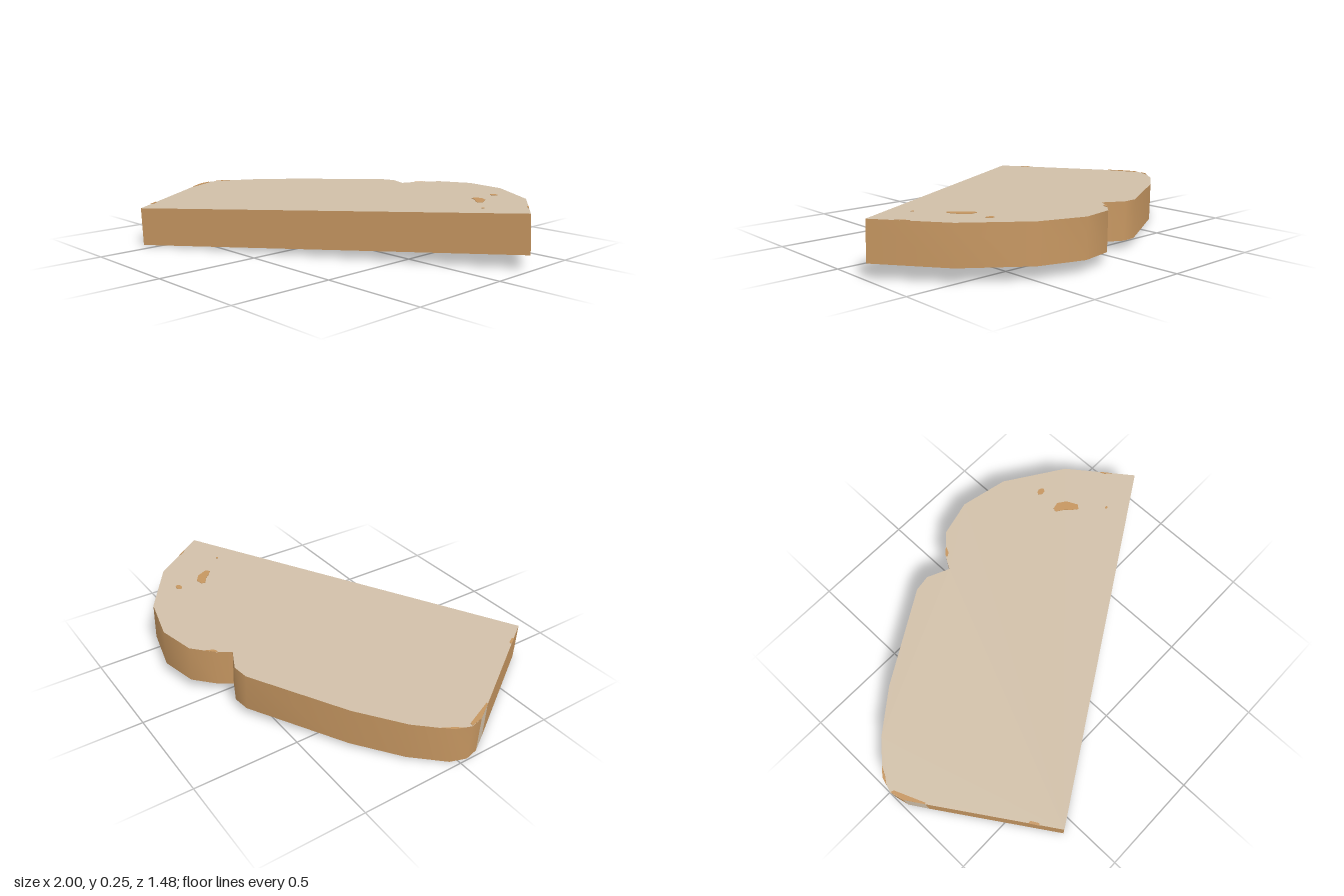
import * as THREE from 'three';
import { toCreasedNormals } from 'three/addons/utils/BufferGeometryUtils.js';

const THICK = 0.182;
const A = 0.0325, B = -0.02, C = 0.033; // slope of the underside: y = A x + B z + C

// Lays a local slab (x, height, z) onto the tilted plane
const tilt = new THREE.Matrix4().set(
  1, -A, 0, A * THICK,
  A, 1, B, C,
  0, -B, 1, B * THICK,
  0, 0, 0, 1);

// Extrudes a plan outline of [x, z] points upward from a height above the underside
function slab(points, base, depth) {
  const shape = new THREE.Shape(points.map(([x, z]) => new THREE.Vector2(x, -z)));
  const geo = new THREE.ExtrudeGeometry(shape, { depth, bevelEnabled: false });
  geo.rotateX(-Math.PI / 2);
  geo.translate(0, base, 0);
  geo.applyMatrix4(tilt);
  return geo;
}

function oval(x, z, rx, rz) {
  return Array.from({ length: 8 }, (_, i) => {
    const t = (i / 8) * Math.PI * 2;
    return [x + rx * Math.cos(t), z - rz * Math.sin(t)];
  });
}

export function createModel() {
  const crumb = new THREE.MeshStandardMaterial({ color: 0xd0bfa8 });
  crumb.name = 'crumb';
  const crust = new THREE.MeshStandardMaterial({ color: 0xc49560 });
  crust.name = 'crust';

  const group = new THREE.Group();
  group.name = 'halfBreadSlice';

  // Slice outline; the first edge is the straight cut
  const outline = [
    [-0.573, 0.738], [0.992, -0.219], [0.773, -0.508], [0.5, -0.69],
    [0.27, -0.743], [0.094, -0.7], [0.003, -0.61], [-0.035, -0.545],
    [-0.142, -0.594], [-0.222, -0.583], [-0.655, -0.326], [-0.853, -0.171],
    [-0.976, -0.032], [-1, 0.045], [-0.983, 0.112], [-0.928, 0.198],
  ];
  const sliceGeo = toCreasedNormals(slab(outline, 0, THICK), 0.65);

  // Crumb on the flat faces and the cut, crust around the rest of the rim
  const [caps, rim] = sliceGeo.groups;
  const cut = rim.start + 6 * (outline.length - 2);
  sliceGeo.clearGroups();
  sliceGeo.addGroup(caps.start, caps.count, 0);
  sliceGeo.addGroup(rim.start, cut - rim.start, 1);
  sliceGeo.addGroup(cut, 6, 0);
  sliceGeo.addGroup(cut + 6, 6, 1);
  const slice = new THREE.Mesh(sliceGeo, [crumb, crust]);
  slice.name = 'breadSlice';
  group.add(slice);

  // Toasted spots and thin slivers of crust on the upper face
  const patches = {
    longSpot: [[0.56, -0.375], [0.565, -0.395], [0.6, -0.402], [0.64, -0.374],
      [0.666, -0.32], [0.65, -0.3], [0.618, -0.326], [0.6, -0.348]],
    roundSpot: oval(0.591, -0.508, 0.021, 0.015),
    smallSpot: oval(0.754, -0.203, 0.008, 0.006),
    tipSliver: [[-0.998, 0.045], [-0.982, 0.05], [-0.92, 0.198], [-0.928, 0.198], [-0.983, 0.112]],
    shoulderSliver: [[-0.99, 0.01], [-0.976, -0.032], [-0.94, -0.073], [-0.965, -0.025]],
    cornerSliver: [[-0.665, 0.6], [-0.65, 0.6], [-0.63, 0.635], [-0.637, 0.645]],
    notchSliver: [[0.003, -0.61], [0.04, -0.646], [0.025, -0.61], [0.005, -0.6]],
    sideSliver: [[0.89, -0.34], [0.92, -0.313], [0.9, -0.34], [0.88, -0.367]],
  };
  for (const [name, points] of Object.entries(patches)) {
    const patch = new THREE.Mesh(slab(points, THICK - 0.001, 0.003), crust);
    patch.name = name;
    group.add(patch);
  }
  return group;
}
